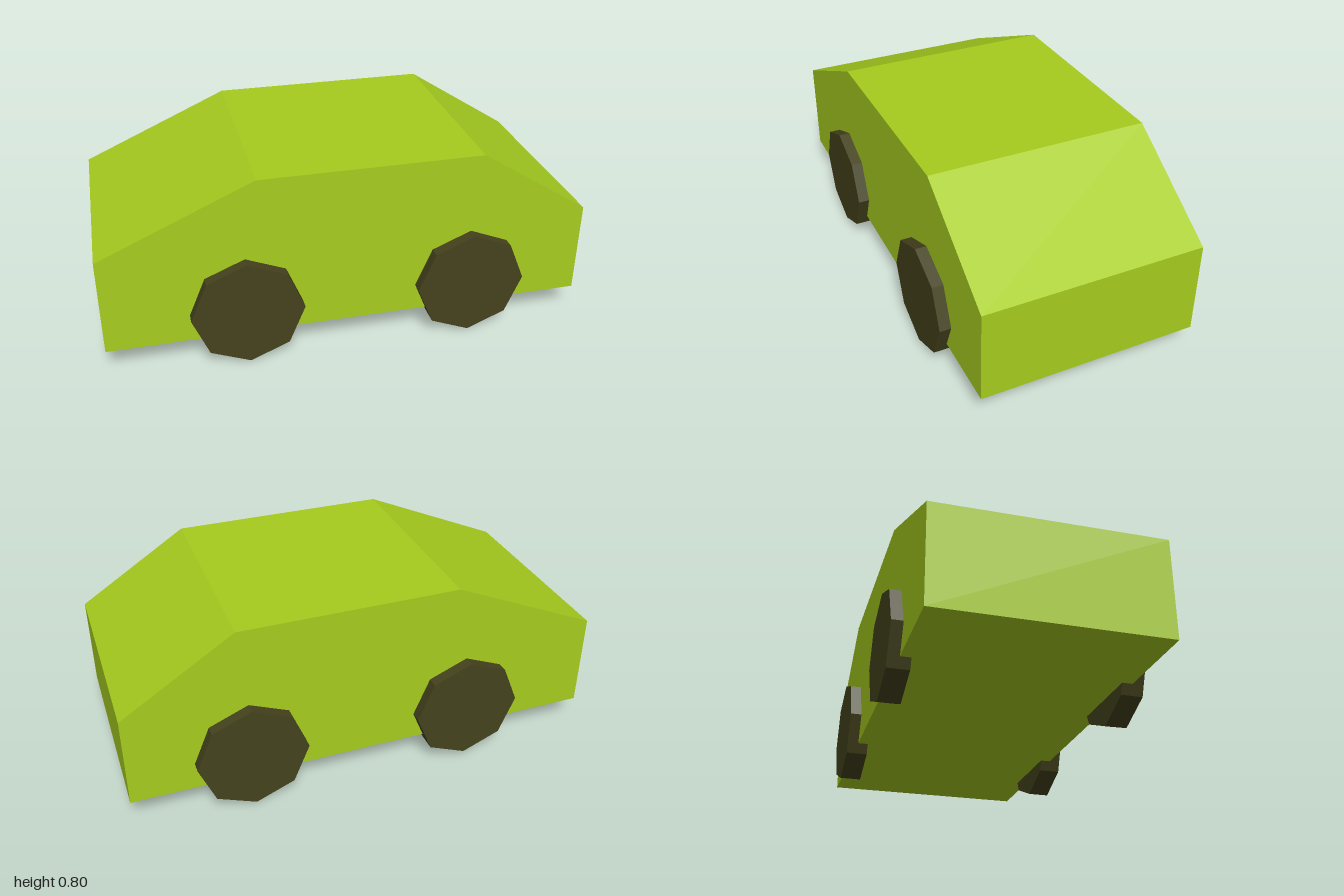
import * as THREE from 'three';

export function createModel() {
  const car = new THREE.Group();
  car.name = 'car';
  const paint = new THREE.MeshStandardMaterial({ color: 0xa6cc1e, flatShading: true });
  const rubber = new THREE.MeshStandardMaterial({ color: 0x44421c, flatShading: true });

  // Body: side profile extruded across the width
  const width = 0.91;
  const profile = new THREE.Shape([
    [-1, 0.11], [1, 0.11], [1, 0.503], [0.54, 0.797], [-0.375, 0.797], [-1, 0.52],
  ].map(([x, y]) => new THREE.Vector2(x, y)));
  const bodyGeometry = new THREE.ExtrudeGeometry(profile, { depth: width, bevelEnabled: false });
  bodyGeometry.translate(0, 0, -width / 2);
  const body = new THREE.Mesh(bodyGeometry, paint);
  body.name = 'body';
  car.add(body);

  // Wheels: octagonal discs, partly sunk into the body sides
  const wheelGeometry = new THREE.CylinderGeometry(0.229, 0.229, 0.09, 8);
  wheelGeometry.rotateX(Math.PI / 2);
  for (const [end, x] of [['right', -0.43], ['left', 0.505]]) {
    for (const [side, z] of [['front', 0.457], ['back', -0.457]]) {
      const wheel = new THREE.Mesh(wheelGeometry, rubber);
      wheel.name = `${side} ${end} wheel`;
      wheel.position.set(x, 0.229, z);
      car.add(wheel);
    }
  }
  return car;
}
